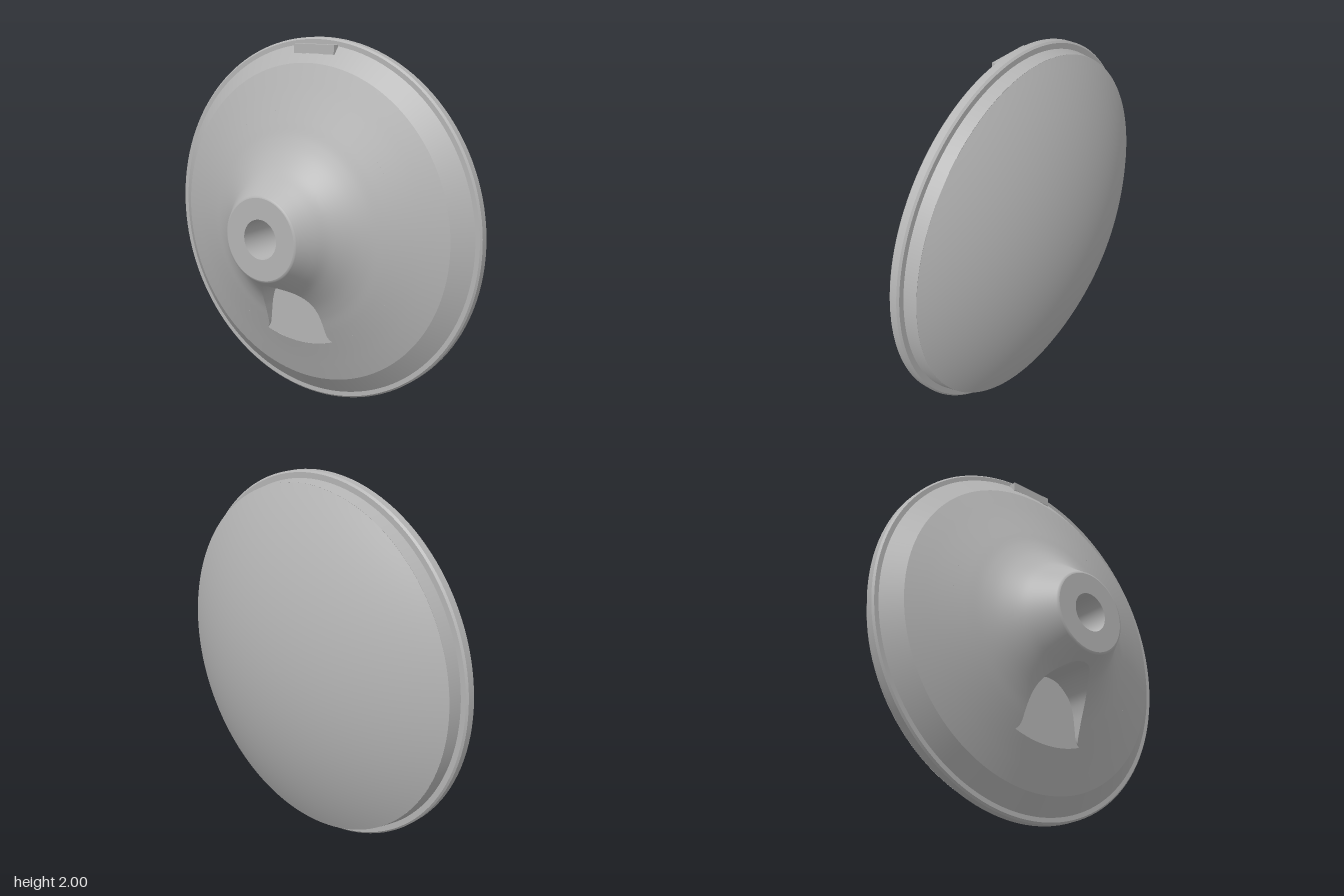
import * as THREE from 'three';

const SEG = 128;
const V = (a) => a.map(([x, y]) => new THREE.Vector3(x, y, 0));

// Front profile: depth z as a function of radius
const FRONT = new THREE.CatmullRomCurve3(V([
  [0.23, 0.43], [0.285, 0.35], [0.335, 0.285], [0.415, 0.217], [0.49, 0.173],
  [0.575, 0.137], [0.72, 0.078], [0.8, 0.047], [0.87, 0.02],
])).getPoints(160);
function depth(r) {
  let i = 0;
  while (i < FRONT.length - 2 && FRONT[i + 1].x < r) i++;
  const a = FRONT[i], b = FRONT[i + 1];
  return a.y + (b.y - a.y) * (r - a.x) / (b.x - a.x);
}

// Half outline of the arched recess: x and distance below the axis
const ARCH = new THREE.CatmullRomCurve3(V([
  [0, 0.26], [0.06, 0.27], [0.12, 0.31], [0.16, 0.36], [0.18, 0.42],
  [0.19, 0.5], [0.2, 0.575], [0.22, 0.6],
])).getPoints(36).map((p) => ({ x: p.x, d: p.y, r: Math.hypot(p.x, p.y), a: Math.atan2(p.x, p.y) }));
const R_END = ARCH[ARCH.length - 1].r;
const FLOOR = 0.11;

// Grid surface from a point rule; onFront gives it the normals of the front profile
function grid(nu, nv, fn, onFront = false) {
  const pos = [], idx = [], nor = [];
  for (let i = 0; i <= nu; i++) {
    for (let j = 0; j <= nv; j++) {
      const p = fn(i, j / nv);
      pos.push(...p);
      const r = Math.hypot(p[0], p[1]) || 1;
      const s = (depth(r + 0.01) - depth(r - 0.01)) / 0.02;
      const n = new THREE.Vector3(-s * p[0] / r, -s * p[1] / r, 1).normalize();
      nor.push(n.x, n.y, n.z);
      if (i < nu && j < nv) {
        const a = i * (nv + 1) + j, b = a + nv + 1;
        idx.push(a, b, b + 1, a, b + 1, a + 1);
      }
    }
  }
  const g = new THREE.BufferGeometry();
  g.setAttribute('position', new THREE.Float32BufferAttribute(pos, 3));
  g.setIndex(idx);
  if (onFront) g.setAttribute('normal', new THREE.Float32BufferAttribute(nor, 3));
  else g.computeVertexNormals();
  return g;
}

export function createModel() {
  const model = new THREE.Group();
  const body = new THREE.Group();
  body.name = 'body';
  body.position.y = 1;
  model.add(body);

  const grey = new THREE.MeshStandardMaterial({ color: 0xb4b4b4, side: THREE.DoubleSide });
  grey.name = 'grey';
  const add = (name, geo) => {
    const m = new THREE.Mesh(geo, grey);
    m.name = name;
    body.add(m);
    return m;
  };
  // Turned part around the z axis; points are [radius, z] from back to front
  const turn = (name, pts) => add(name, new THREE.LatheGeometry(
    pts.map(([r, z]) => new THREE.Vector2(r, z)), SEG).rotateX(Math.PI / 2));
  // Turned part with a sharp edge at every point
  const turnSharp = (name, pts) => {
    for (let i = 0; i < pts.length - 1; i++) turn(name, [pts[i], pts[i + 1]]);
  };

  // Back dome: shallow spherical cap
  const R = 1.93, capAngle = Math.asin(0.948 / R);
  const dome = [];
  for (let i = 0; i <= 24; i++) {
    const t = capAngle * i / 24;
    dome.push([R * Math.sin(t), -0.44 + R * (1 - Math.cos(t))]);
  }
  turn('backDome', dome);
  turnSharp('backWall', [[0.948, -0.19], [0.96, -0.12]]);

  // Seam flange and the bevel in front of it
  turnSharp('rimFlange', [[0.96, -0.12], [0.99, -0.12], [1, -0.11], [1, -0.07], [0.99, -0.06], [0.965, -0.06]]);
  turnSharp('frontBevel', [[0.965, -0.06], [0.87, 0.02]]);

  // Flared front shell, cut open along the recess
  add('flaredShell', grid(ARCH.length - 1, SEG, (i, v) => {
    const { r, a } = ARCH[i];
    const t = -Math.PI / 2 + a + v * (2 * Math.PI - 2 * a);
    return [r * Math.cos(t), r * Math.sin(t), depth(r)];
  }, true));
  for (const [r0, r1, n] of [[0.23, 0.26, 4], [R_END, 0.87, 10]]) {
    add('flaredShell', grid(n, SEG, (i, v) => {
      const r = r0 + (r1 - r0) * i / n, t = v * 2 * Math.PI;
      return [r * Math.cos(t), r * Math.sin(t), depth(r)];
    }, true));
  }

  // Arched recess: flat floor and upright walls
  add('recessFloor', grid(ARCH.length - 1, 12, (i, v) => {
    const { r, a } = ARCH[i], t = a * (2 * v - 1);
    return [r * Math.sin(t), -r * Math.cos(t), FLOOR];
  }));
  for (const side of [1, -1]) {
    add('recessWall', grid(ARCH.length - 1, 4, (i, v) => {
      const { x, d, r } = ARCH[i], k = side > 0 ? v : 1 - v;
      return [side * x, -d, FLOOR + (depth(r) - FLOOR) * k];
    }));
  }

  // Hub end with a bored socket
  turn('hubEdge', [[0.23, 0.43], [0.226, 0.437], [0.217, 0.44]]);
  turnSharp('hubFace', [[0.217, 0.44], [0.105, 0.44]]);
  turnSharp('hubSocket', [[0.105, 0.44], [0.105, 0.12], [0, 0.12]]);

  // Nearly flush pad on the left side
  add('sidePad', grid(12, 24, (i, v) => {
    const y = 0.46 * v - 0.23;
    const x0 = 0.58 + Math.max(0, Math.abs(y) - 0.15) * 2.4;
    const x1 = Math.sqrt(0.825 ** 2 - y * y);
    const x = x0 + (x1 - x0) * i / 12;
    return [x, y, depth(Math.hypot(x, y)) + 0.002];
  }, true));

  // Latch tab at the top
  add('latchTab', new THREE.BoxGeometry(0.26, 0.05, 0.06)).position.set(0, 0.94, -0.05);

  return model;
}
